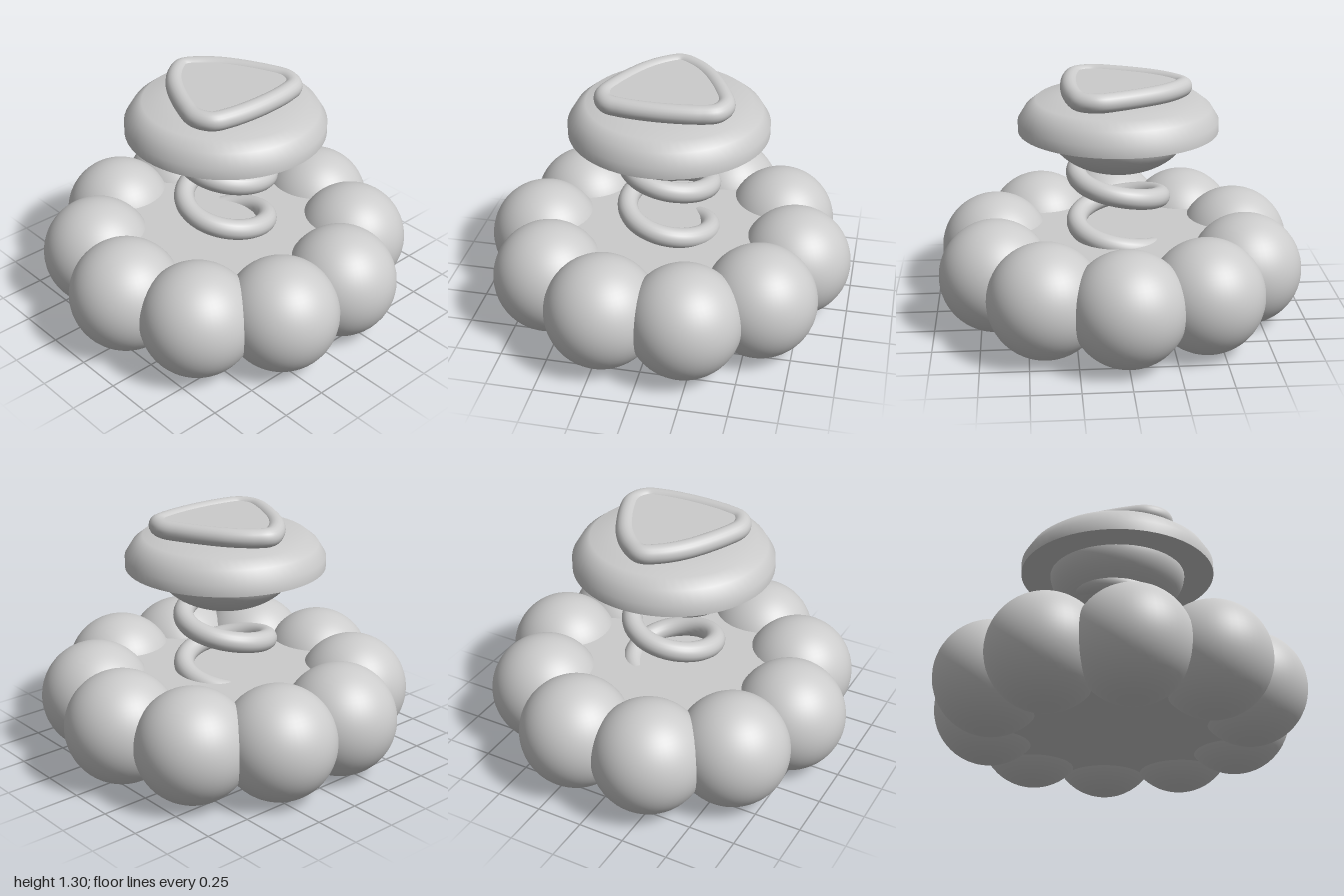
import * as THREE from 'three';

export function createModel() {
  const group = new THREE.Group();
  const material = new THREE.MeshStandardMaterial({ color: 0xcccccc });
  const add = (name, geometry, x = 0, y = 0, z = 0) => {
    const mesh = new THREE.Mesh(geometry, material);
    mesh.name = name;
    mesh.position.set(x, y, z);
    group.add(mesh);
    return mesh;
  };

  // Base: a disc ringed by ten overlapping balls
  add('baseDisc', new THREE.CylinderGeometry(0.69, 0.69, 0.35, 64), 0, 0.275, 0);
  const ball = new THREE.SphereGeometry(0.3, 48, 32);
  for (let i = 0; i < 10; i++) {
    const a = (i * Math.PI) / 5;
    add('baseBall' + (i + 1), ball, 0.7 * Math.cos(a), 0.3, 0.7 * Math.sin(a));
  }

  // Coil spring rising from the disc into the bowl
  const coil = [];
  for (let i = 0; i <= 80; i++) {
    const t = Math.PI * (-2.3 + (3.8 * i) / 80);
    coil.push(new THREE.Vector3(0.225 * Math.cos(t), 0.72 + (0.28 * t) / (2 * Math.PI), 0.225 * Math.sin(t)));
  }
  add('spring', new THREE.TubeGeometry(new THREE.CatmullRomCurve3(coil), 200, 0.055, 20));

  // Bowl under the cap
  const bowl = new THREE.SphereGeometry(0.37, 48, 24, 0, Math.PI * 2, Math.PI / 2, Math.PI / 2);
  bowl.scale(1, 0.235 / 0.37, 1);
  add('bowl', bowl, 0, 1.035, 0);

  // Cap: rounded shoulder with a flat underside
  const profile = [[0.53, 1.03], [0.53, 1.09], [0.49, 1.155], [0.435, 1.198], [0.27, 1.215], [0, 1.22]];
  add('cap', new THREE.LatheGeometry(profile.map(([r, y]) => new THREE.Vector2(r, y)), 64));
  add('capUnderside', new THREE.CircleGeometry(0.53, 64).rotateX(Math.PI / 2), 0, 1.03, 0);

  // Rounded triangular rim, mirrored about x = 0
  const half = [[0.07, -0.305], [0.17, -0.2], [0.285, 0.02], [0.315, 0.13], [0.28, 0.21], [0.2, 0.238]];
  const outline = [[0, -0.34], ...half, [0, 0.255], ...half.map(([x, z]) => [-x, z]).reverse()];
  const rim = new THREE.CatmullRomCurve3(outline.map(([x, z]) => new THREE.Vector3(x, 0, z)), true);
  add('triangleRim', new THREE.TubeGeometry(rim, 160, 0.05, 20, true), 0, 1.255, 0);

  // Panel filling the rim
  const panelShape = new THREE.Shape(rim.getPoints(90).slice(0, -1).map((p) => new THREE.Vector2(p.x, p.z)));
  const panel = new THREE.ExtrudeGeometry(panelShape, { depth: 0.08, bevelEnabled: false });
  add('trianglePanel', panel.rotateX(Math.PI / 2), 0, 1.29, 0);

  return group;
}
